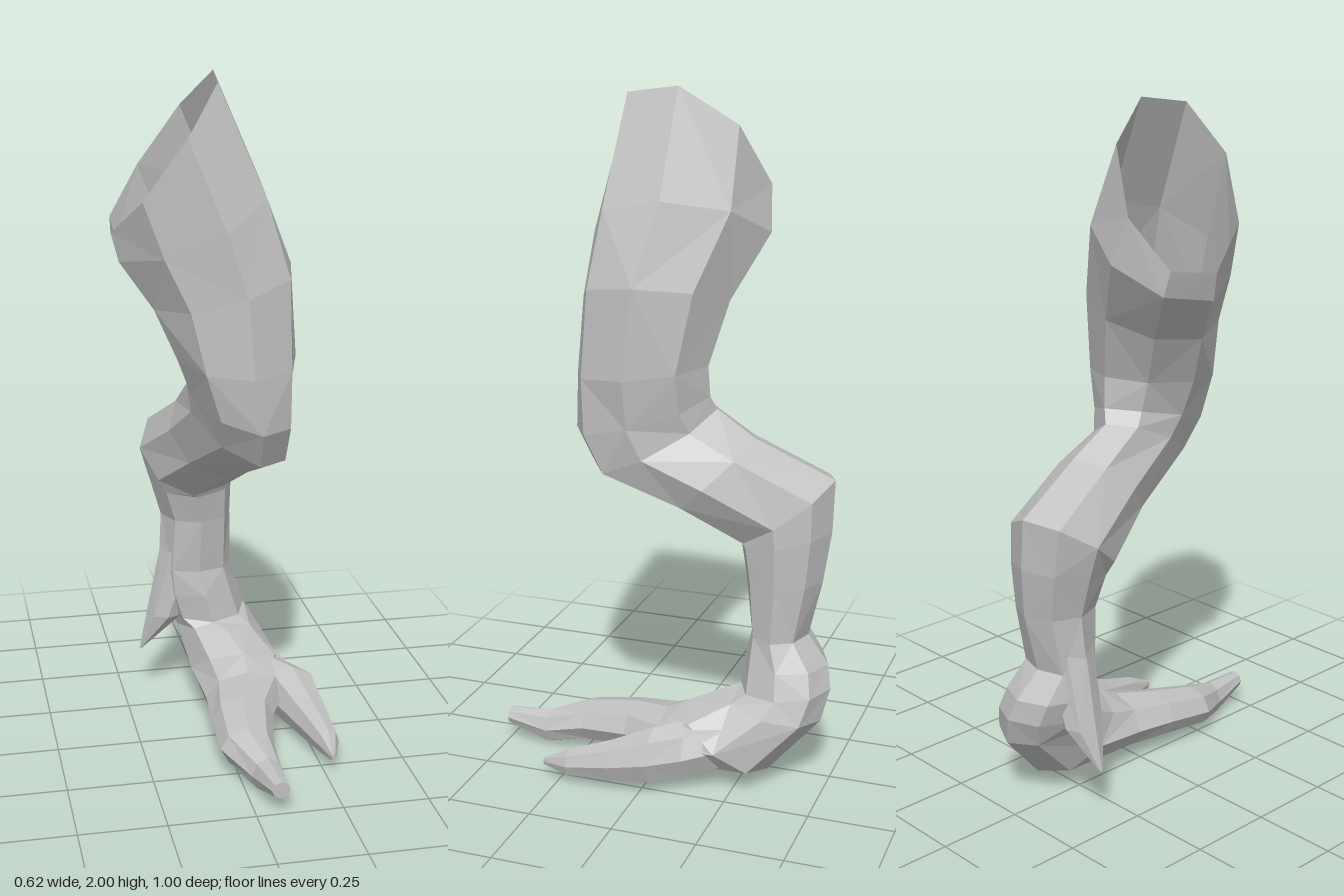
import * as THREE from 'three';

const SIDES = 8;

// One cross-section: centre (cx, cy, cz), sideways half-axis (ux, uy, 0), front half-axis (vx, vy, vz)
function ringPoint([cx, cy, cz, ux, uy, vy, vz, vx = 0], j) {
  const a = (j % SIDES) / SIDES * Math.PI * 2;
  const c = Math.cos(a), s = Math.sin(a);
  return [cx + ux * c + vx * s, cy + uy * c + vy * s, cz + vz * s];
}

// Skin a chain of cross-sections with alternating diagonals; optionally close the far end
function loft(name, rings, material, capEnd = false) {
  const pos = [];
  const tri = (...pts) => pts.forEach((p) => pos.push(...p));
  for (let i = 0; i < rings.length - 1; i++) {
    for (let j = 0; j < SIDES; j++) {
      const a = ringPoint(rings[i], j), b = ringPoint(rings[i], j + 1);
      const c = ringPoint(rings[i + 1], j), d = ringPoint(rings[i + 1], j + 1);
      if ((i + j) % 2) { tri(a, b, c); tri(b, d, c); }
      else { tri(a, b, d); tri(a, d, c); }
    }
  }
  if (capEnd) {
    const last = rings[rings.length - 1];
    for (let j = 0; j < SIDES; j++) tri(ringPoint(last, j), ringPoint(last, j + 1), last.slice(0, 3));
  }
  const geo = new THREE.BufferGeometry();
  geo.setAttribute('position', new THREE.Float32BufferAttribute(pos, 3));
  geo.computeVertexNormals();
  const mesh = new THREE.Mesh(geo, material);
  mesh.name = name;
  return mesh;
}

export function createModel() {
  const grey = new THREE.MeshStandardMaterial({ color: 0xc0c0c0, flatShading: true, side: THREE.DoubleSide });
  grey.name = 'pale grey';

  // Thigh: hollow, with a slanted open rim at the hip, ending at the knee
  const thigh = [
    [-0.165, 1.78, -0.015, 0.145, 0.22, 0.06, 0.22, 0.035],
    [-0.09, 1.59, -0.005, 0.20, 0.11, 0.0, 0.245, 0.06],
    [-0.005, 1.41, 0.045, 0.195, 0.06, 0.0, 0.21, 0.03],
    [0.03, 1.21, 0.075, 0.17, 0.0, -0.02, 0.195, 0.01],
    [0.04, 1.085, 0.07, 0.14, -0.02, -0.055, 0.195, 0.025],
    [0.035, 1.01, 0.03, 0.13, -0.035, -0.09, 0.17, 0.04],
  ];
  // Lower leg: back to the hock
  const lowerLeg = [
    thigh[thigh.length - 1],
    [0.01, 0.92, -0.145, 0.14, -0.02, -0.105, 0.11, 0.01],
    [-0.045, 0.81, -0.34, 0.145, -0.02, -0.10, 0.142],
  ];
  // Shank: down from the hock to the heel
  const shank = [
    lowerLeg[lowerLeg.length - 1],
    [-0.03, 0.73, -0.345, 0.13, 0.0, -0.03, 0.135],
    [-0.015, 0.61, -0.345, 0.11, 0.0, 0.0, 0.115],
    [-0.02, 0.44, -0.335, 0.115, 0.0, 0.0, 0.085],
    [-0.005, 0.36, -0.36, 0.125, 0.0, 0.0, 0.125],
    [0.02, 0.285, -0.365, 0.125, 0.0, -0.01, 0.135],
  ];
  // Foot running forward into the long toe
  const foot = [
    shank[shank.length - 1],
    [0.05, 0.235, -0.335, 0.125, 0.0, 0.03, 0.145],
    [0.09, 0.135, -0.21, 0.145, 0.0, 0.09, 0.125],
    [0.085, 0.115, -0.04, 0.125, 0.0, 0.077, 0.02],
    [0.045, 0.105, 0.10, 0.095, 0.0, 0.07, 0.0],
    [0.028, 0.085, 0.25, 0.08, 0.0, 0.06, 0.0],
    [0.06, 0.055, 0.37, 0.045, 0.0, 0.053, 0.0],
    [0.07, 0.075, 0.50, 0.027, 0.0, 0.025, 0.0],
  ];
  // Short outer toe, webbed to the side of the foot
  const outerToe = [
    [0.11, 0.15, -0.28, 0.08, 0.0, 0.08, 0.0],
    [0.165, 0.11, -0.12, 0.09, 0.0, 0.09, 0.0],
    [0.23, 0.105, -0.03, 0.08, 0.0, 0.088, 0.0],
    [0.255, 0.08, 0.09, 0.057, 0.0, 0.065, 0.0],
    [0.277, 0.06, 0.22, 0.034, 0.0, 0.042, 0.0],
    [0.275, 0.05, 0.30, 0.006, 0.0, 0.012, 0.0],
  ];
  // Pointed spur on the inner side of the ankle
  const spur = [
    [-0.045, 0.50, -0.335, 0.085, 0.0, 0.0, 0.07],
    [-0.115, 0.28, -0.34, 0.06, 0.0, 0.0, 0.06],
    [-0.195, 0.16, -0.34, 0.004, 0.0, 0.0, 0.006],
  ];

  const group = new THREE.Group();
  group.name = 'leg';
  group.add(
    loft('thigh', thigh, grey),
    loft('lowerLeg', lowerLeg, grey),
    loft('shank', shank, grey),
    loft('footAndLongToe', foot, grey, true),
    loft('outerToe', outerToe, grey, true),
    loft('ankleSpur', spur, grey, true),
  );
  return group;
}
